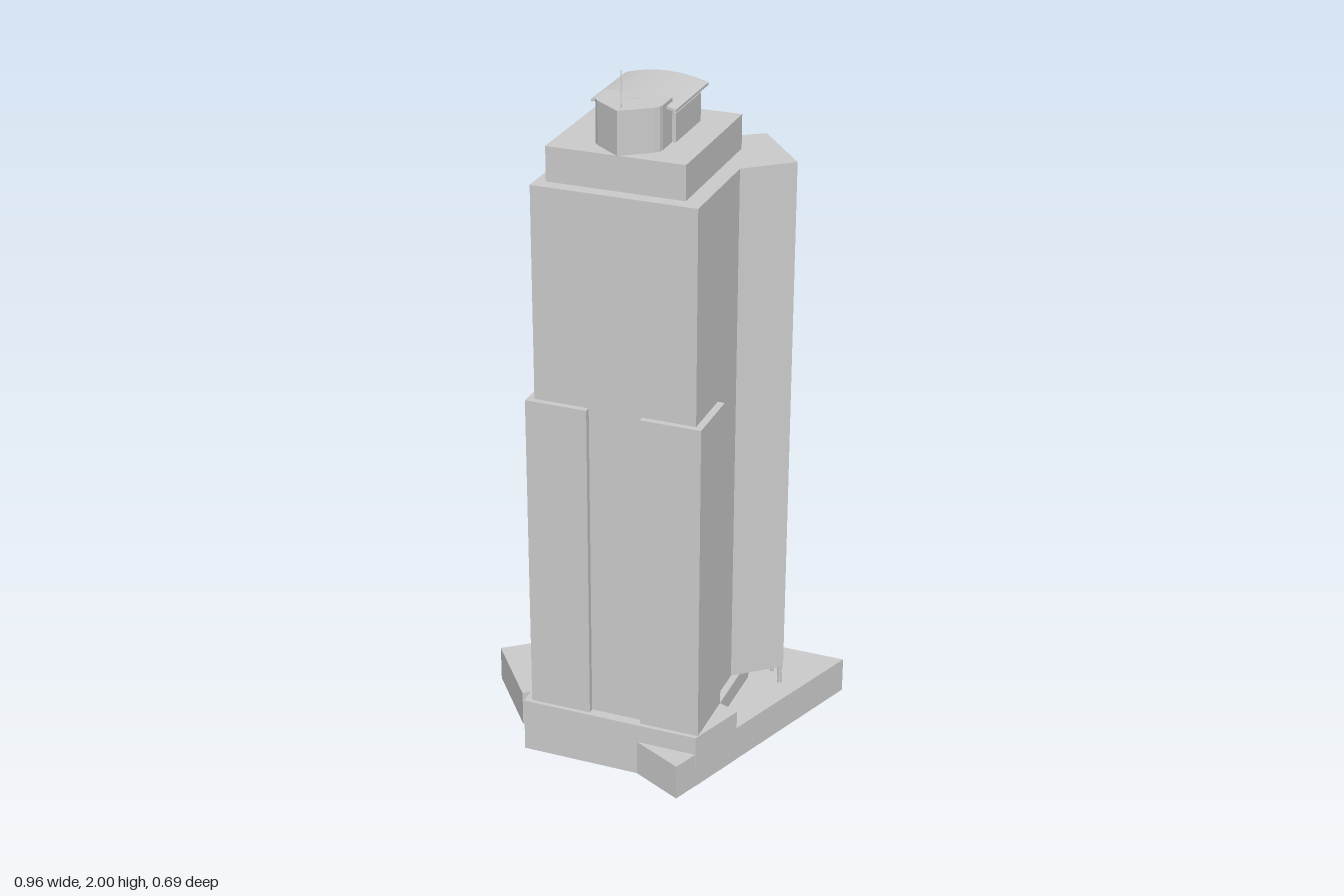
import * as THREE from 'three';

const grey = new THREE.MeshStandardMaterial({ color: 0xcccccc, flatShading: true, side: THREE.DoubleSide });

// Upright prism from a plan outline of [x, z] points
function prism(plan, y0, y1, openBottom = false) {
  const shape = new THREE.Shape(plan.map(([x, z]) => new THREE.Vector2(x, -z)));
  let geo = new THREE.ExtrudeGeometry(shape, { depth: y1 - y0, bevelEnabled: false });
  geo.rotateX(-Math.PI / 2).translate(0, y0, 0);
  if (openBottom) {
    const p = geo.attributes.position, kept = [];
    for (let i = 0; i < p.count; i += 3) {
      if (Math.max(p.getY(i), p.getY(i + 1), p.getY(i + 2)) < y0 + 1e-4) continue;
      for (let k = i; k < i + 3; k++) kept.push(p.getX(k), p.getY(k), p.getZ(k));
    }
    geo = new THREE.BufferGeometry();
    geo.setAttribute('position', new THREE.Float32BufferAttribute(kept, 3));
    geo.computeVertexNormals();
  }
  return geo;
}

const rect = (x0, x1, z0, z1) => [[x0, z1], [x1, z1], [x1, z0], [x0, z0]];

// Solid with an arched top (and optionally arched underside), running along z
function arched(halfWidth, bottomEdge, bottomMid, topEdge, topMid, z0, z1) {
  const shape = new THREE.Shape(), n = 12;
  const at = (t, edge, mid) => [halfWidth * t, edge + (mid - edge) * (1 - t * t)];
  for (let i = 0; i <= n; i++) {
    const [x, y] = at(-1 + (2 * i) / n, bottomEdge, bottomMid);
    i ? shape.lineTo(x, y) : shape.moveTo(x, y);
  }
  for (let i = n; i >= 0; i--) shape.lineTo(...at(-1 + (2 * i) / n, topEdge, topMid));
  return new THREE.ExtrudeGeometry(shape, { depth: z1 - z0, bevelEnabled: false }).translate(0, 0, z0);
}

export function createModel() {
  const model = new THREE.Group();
  model.name = 'skyscraper';
  const add = (name, geo) => {
    const mesh = new THREE.Mesh(geo, grey);
    mesh.name = name;
    model.add(mesh);
    return mesh;
  };

  // Angular podium and the base block standing in it, both open underneath
  add('podium', prism([
    [-0.03, -0.347], [0.477, -0.347], [0.22, 0.345], [0.075, 0.272], [-0.265, 0.272], [-0.265, 0.11],
    [-0.32, 0.163], [-0.48, -0.037], [-0.293, -0.183], [-0.293, -0.293], [-0.03, -0.293],
  ], 0, 0.104, true));
  add('baseBlock', prism([
    [-0.265, -0.157], [0.25, -0.157], [0.25, 0.082], [0.309, 0.107], [0.248, 0.272], [-0.265, 0.272],
  ], 0, 0.158, true));

  // Columns carrying the overhanging back of the tower
  const columns = [
    [0.342, -0.165], [0.303, -0.215], [0.255, -0.275], [0.205, -0.338],
    [0.05, -0.248], [-0.02, -0.248], [-0.11, -0.248], [-0.217, -0.248],
  ];
  for (const [x, z] of columns) {
    add('column', new THREE.CylinderGeometry(0.006, 0.006, 0.06, 10)).position.set(x, 0.132, z);
  }

  // Main shaft with the diagonal wing on its back left corner
  add('tower', prism([
    [-0.225, -0.257], [0.075, -0.257], [0.205, -0.347], [0.352, -0.165],
    [0.23, -0.063], [0.23, 0.243], [-0.225, 0.243],
  ], 0.158, 1.69));

  // Shallow corner piers on the front
  add('rightCornerPier', prism(rect(-0.245, -0.07, 0.095, 0.26), 0.158, 1.09));
  add('leftCornerPier', prism(rect(0.08, 0.25, 0.082, 0.26), 0.158, 1.09));

  // Setback tier
  add('setbackTier', prism(rect(-0.197, 0.183, -0.208, 0.205), 1.69, 1.785));

  // Penthouse under a thin arched roof
  add('penthouse', arched(0.1, 1.785, 1.785, 1.862, 1.896, -0.12, 0.06));
  add('archedRoof', arched(0.115, 1.879, 1.896, 1.886, 1.904, -0.135, 0.1));

  // Pointed front bay with rounded shoulders
  const side = [[0.09, 0.06], [0.09, 0.125], [0.087, 0.138], [0.077, 0.15]];
  const mirrored = side.map(([x, z]) => [-x, z]).reverse();
  add('frontBay', prism([...side, [0, 0.207], ...mirrored], 1.785, 1.903));

  // Antenna
  add('antenna', new THREE.CylinderGeometry(0.0012, 0.002, 0.1, 8)).position.set(0, 1.95, 0.18);

  return model;
}
